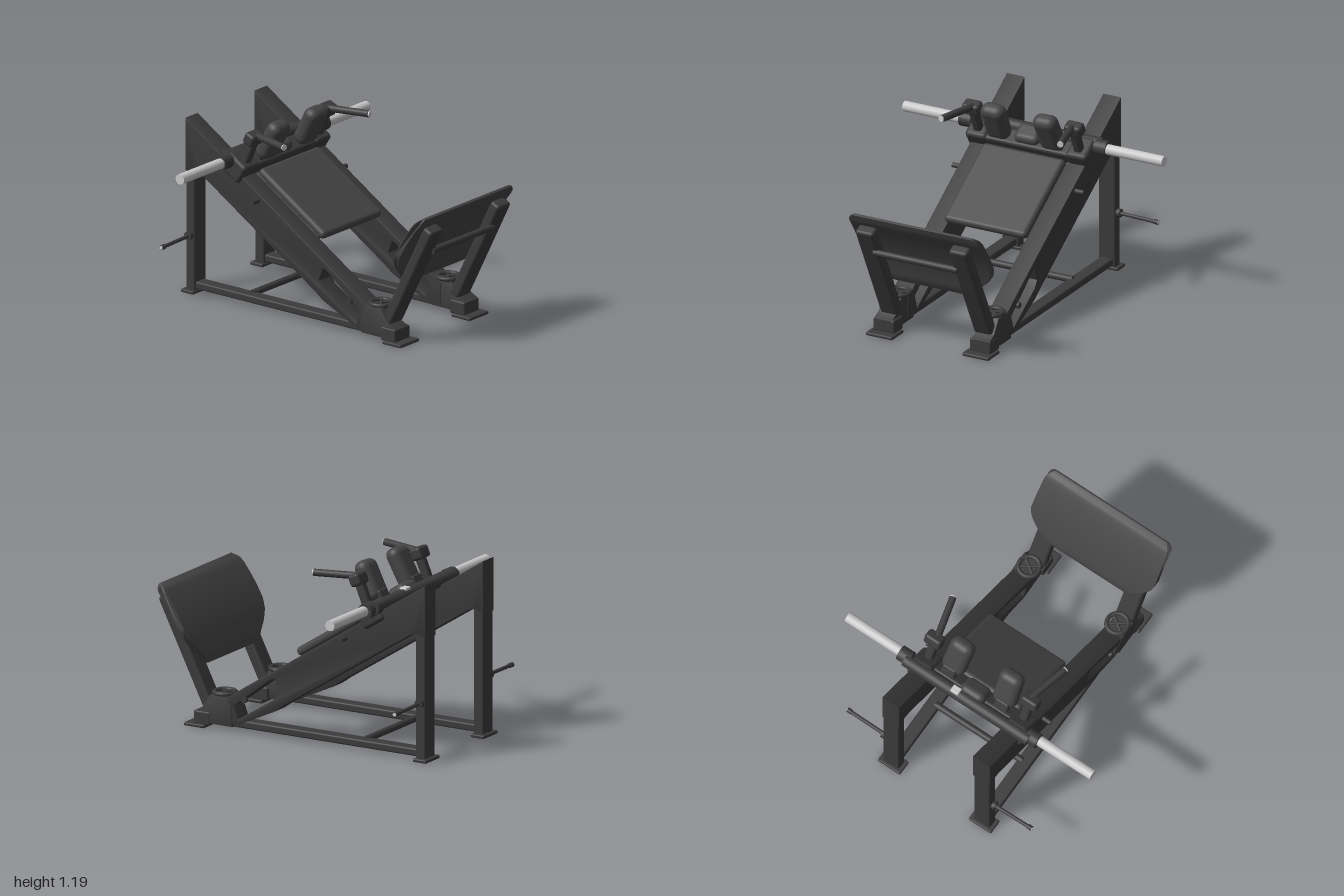
import * as THREE from 'three';
import { toCreasedNormals } from 'three/addons/utils/BufferGeometryUtils.js';
import { RoundedBoxGeometry } from 'three/addons/geometries/RoundedBoxGeometry.js';

const mat = (name, color) => Object.assign(new THREE.MeshStandardMaterial({ color }), { name });

export function createModel() {
  const root = new THREE.Group();
  root.name = 'legPressMachine';
  const frame = mat('darkFrame', 0x3b3b3b);
  const pad = mat('padGrey', 0x454545);
  const steel = mat('brightSteel', 0xc9c9c9);
  const V = (x, y, z) => new THREE.Vector3(x, y, z);

  const add = (name, geo, material = frame) => {
    const m = new THREE.Mesh(geo, material);
    m.name = name;
    root.add(m);
    return m;
  };
  // rounded box, optionally pitched about x
  const box = (name, size, pos, pitch = 0, material = frame, r = 0.012) => {
    const m = add(name, new RoundedBoxGeometry(...size, 3, r), material);
    m.position.set(...pos);
    m.rotation.x = pitch;
    return m;
  };
  // round bar between two points
  const bar = (name, a, b, r, material = frame) => {
    const d = b.clone().sub(a);
    const m = add(name, new THREE.CylinderGeometry(r, r, d.length(), 20), material);
    m.position.copy(a).addScaledVector(d, 0.5);
    m.quaternion.setFromUnitVectors(V(0, 1, 0), d.normalize());
    return m;
  };
  const pts = (list) => list.map(([z, y]) => new THREE.Vector2(z, y));
  // side profile in (z, y), extruded across x between x0 and x1
  const profile = (outline, x0, x1, holes = []) => {
    const shape = new THREE.Shape(pts(outline));
    holes.forEach((h) => shape.holes.push(new THREE.Path(pts(h))));
    const b = 0.006;
    const geo = new THREE.ExtrudeGeometry(shape, {
      depth: x1 - x0 - 2 * b, bevelThickness: b, bevelSize: b, bevelOffset: -b, bevelSegments: 2,
    });
    geo.rotateY(-Math.PI / 2);
    geo.translate(x1 - b, 0, 0);
    return toCreasedNormals(geo, 0.6);
  };

  const pitch = 0.567;
  const railY = (z) => 0.505 - 0.637 * (z - 0.03);

  for (const s of [-1, 1]) {
    const side = s > 0 ? 'left' : 'right';
    const span = (a, b) => (s > 0 ? [a, b] : [-b, -a]);

    // sloping rail with open slot at its lower end
    add(side + 'Rail', profile(
      [[-0.975, 1.147], [-0.975, 0.8], [-0.92, 0.83], [-0.87, 0.815], [0.06, 0.225], [0.13, 0.175],
        [0.4, 0.05], [0.52, 0.05], [0.52, 0.19], [0.31, 0.327]],
      ...span(0.28, 0.41),
      [[[0.43, 0.17], [0.16, 0.375], [0.13, 0.385], [0.1, 0.3], [0.13, 0.255], [0.4, 0.085]]]));
    // ground frame
    box(side + 'Upright', [0.12, 0.9, 0.07], [s * 0.345, 0.45, -0.938]);
    box(side + 'BaseRail', [0.09, 0.05, 1.66], [s * 0.345, 0.051, -0.13]);
    box(side + 'RearFoot', [0.17, 0.022, 0.1], [s * 0.345, 0.011, -0.945], 0, frame, 0.008);
    box(side + 'FrontFoot', [0.19, 0.022, 0.15], [s * 0.345, 0.011, 0.705], 0, frame, 0.008);
    box(side + 'FrontFootBlock', [0.15, 0.09, 0.12], [s * 0.345, 0.06, 0.66]);

    // pivot housing and ring at the foot of each arm
    add(side + 'PivotHousing', profile(
      [[0.72, 0.03], [0.44, 0.03], [0.44, 0.15], [0.47, 0.22], [0.6, 0.22], [0.66, 0.13], [0.72, 0.1]],
      ...span(0.285, 0.415)));
    const ring = add(side + 'PivotRing', new THREE.TorusGeometry(0.068, 0.015, 10, 28));
    ring.position.set(s * 0.335, 0.228, 0.54);
    ring.rotation.x = Math.PI / 2;
    for (const k of [-0.6, 0.6]) {
      bar(side + 'RingSpoke', V(s * 0.335 - 0.06, 0.228, 0.54 + k * 0.07),
        V(s * 0.335 + 0.06, 0.228, 0.54 - k * 0.07), 0.01);
    }

    // foot plate arm
    box(side + 'FootPlateArm', [0.13, 0.75, 0.075], [s * 0.335, 0.47, 0.797], 0.464, frame, 0.02);

    // storage peg on the upright
    bar(side + 'StoragePeg', V(s * 0.39, 0.38, -0.938), V(s * 0.69, 0.375, -0.932), 0.012);
    bar(side + 'PegCollar', V(s * 0.4, 0.38, -0.938), V(s * 0.43, 0.38, -0.938), 0.028);
    bar(side + 'PegEnd', V(s * 0.67, 0.375, -0.932), V(s * 0.7, 0.375, -0.932), 0.016);
    bar(side + 'PegCap', V(s * 0.7, 0.375, -0.932), V(s * 0.704, 0.375, -0.932), 0.012, steel);

    // lock pins on the rail
    bar(side + 'LockPin', V(s * 0.4, 0.725, -0.39), V(s * 0.47, 0.725, -0.39), 0.016);
    bar(side + 'LowerPin', V(s * 0.4, 0.22, 0.35), V(s * 0.425, 0.22, 0.35), 0.02);

    // carriage ends and weight sleeve
    box(side + 'CarriageBlock', [0.15, 0.14, 0.17], [s * 0.36, 0.905, -0.575], pitch, frame, 0.025);
    bar(side + 'SleeveCollar', V(s * 0.44, 0.955, -0.605), V(s * 0.525, 0.955, -0.605), 0.05);
    bar(side + 'WeightSleeve', V(s * 0.5, 0.955, -0.597), V(s * 0.93, 0.955, -0.597), 0.034, steel);

    // shoulder pad
    const shoulder = box(side + 'ShoulderPad', [0.165, 0.27, 0.11], [s * 0.19, 1.06, -0.445], 0.48, pad, 0.05);
    shoulder.rotation.z = s * 0.04;
    box(side + 'ShoulderPadMount', [0.1, 0.12, 0.08], [s * 0.2, 0.95, -0.53], 0.48);

    // hand grip and its bracket
    box(side + 'GripBracket', [0.06, 0.25, 0.06], [s * 0.36, 1.03, -0.49], 0.4, frame, 0.02);
    box(side + 'GripClamp', [0.12, 0.08, 0.08], [s * 0.365, 1.11, -0.46], 0.4, frame, 0.02);
    bar(side + 'HandGrip', V(s * 0.345, 1.125, -0.48), V(s * 0.425, 1.125, -0.17), 0.023);
    bar(side + 'GripCap', V(s * 0.425, 1.125, -0.17), V(s * 0.427, 1.125, -0.162), 0.02, steel);
  }

  // cross members
  bar('baseCrossBar', V(-0.33, 0.07, -0.5), V(0.33, 0.07, -0.5), 0.022);
  bar('carriageBar', V(-0.47, 0.965, -0.63), V(0.47, 0.965, -0.63), 0.043);
  bar('footPlateBar', V(-0.3, 0.64, 0.92), V(0.3, 0.64, 0.92), 0.022);
  box('carriageBeam', [0.64, 0.1, 0.12], [0, 0.9, -0.555], pitch, frame, 0.02);
  box('carriageLatch', [0.06, 0.03, 0.05], [0.085, 1.003, -0.63], 0, steel, 0.008);

  // back pad on its carriage plate
  box('backPad', [0.59, 0.06, 0.62], [0, railY(-0.235) + 0.03, -0.22], pitch, pad, 0.028);
  box('carriagePlate', [0.54, 0.03, 0.6], [0, railY(-0.26) - 0.012, -0.27], pitch);
  box('headPad', [0.18, 0.09, 0.14], [-0.01, 0.96, -0.555], pitch, pad, 0.04);

  // curved foot plate: side band swept across x, then narrowed by height
  const curve = new THREE.QuadraticBezierCurve(
    new THREE.Vector2(0.695, 0.385), new THREE.Vector2(0.76, 0.66), new THREE.Vector2(0.965, 0.89));
  const inner = [], outer = [];
  for (let i = 0; i <= 28; i++) {
    const t = i / 28, p = curve.getPoint(t), d = curve.getTangent(t);
    const h = 0.022 * Math.min(1, 0.35 + 8 * Math.min(t, 1 - t));
    inner.push([p.x - d.y * h, p.y + d.x * h]);
    outer.push([p.x + d.y * h, p.y - d.x * h]);
  }
  const plate = profile([...inner, ...outer.reverse()], -1, 1);
  const widths = [[0.37, 0.28], [0.4, 0.31], [0.45, 0.34], [0.5, 0.4], [0.56, 0.45], [0.62, 0.47],
    [0.84, 0.465], [0.87, 0.455], [0.89, 0.43], [0.92, 0.39]];
  const halfWidth = (y) => {
    const i = Math.max(1, widths.findIndex(([h]) => h >= y));
    const [a, b] = [widths[i - 1], widths[i]];
    return THREE.MathUtils.mapLinear(y, a[0], b[0], a[1], b[1]);
  };
  const pos = plate.attributes.position;
  for (let i = 0; i < pos.count; i++) pos.setX(i, pos.getX(i) * halfWidth(pos.getY(i)));
  add('footPlate', toCreasedNormals(plate, 0.6), pad);

  return root;
}
